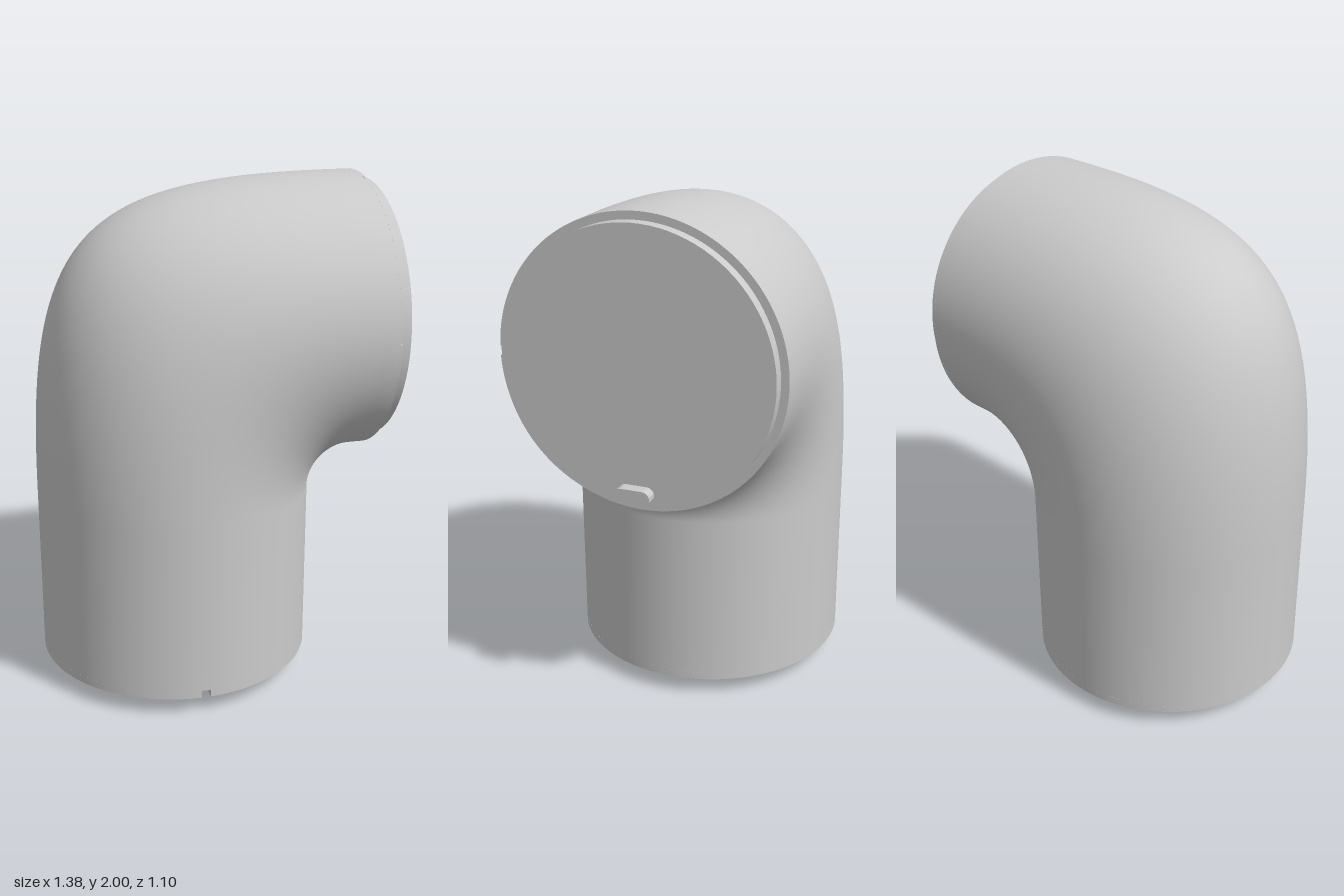
import * as THREE from 'three';
import { toCreasedNormals } from 'three/addons/utils/BufferGeometryUtils.js';

const R = 0.55;          // pipe radius
const CX = -0.145;       // axis of the upright pipe (x)
const CY = 1.45;         // axis of the level pipe (y)
const FLOOR = 0.10, FACE = 0.59;  // ends of the lofted body, behind the rims
const SEG = 96, BEND = 48;

// Elbow skin: every lengthwise line is straight, then a cubic bend, then straight
function elbowGeometry() {
  const rows = BEND + 3, pos = [], idx = [];
  const lines = [];
  for (let j = 0; j < SEG; j++) {
    const a = (j / SEG) * Math.PI * 2, u = Math.cos(a);
    const x = CX + R * u, y = CY - R * u;       // corner of this line
    const L = 0.68 - R * u;                     // bend length, short on the inside
    const h = L * THREE.MathUtils.lerp(0.84, 0.56, (u + 1) / 2);
    const bend = new THREE.CubicBezierCurve(
      new THREE.Vector2(x, y - L), new THREE.Vector2(x, y - L + h),
      new THREE.Vector2(x + L - h, y), new THREE.Vector2(x + L, y));
    lines.push({
      z: R * Math.sin(a),
      pts: [new THREE.Vector2(x, FLOOR), ...bend.getPoints(BEND), new THREE.Vector2(FACE, y)],
    });
  }
  for (let i = 0; i < rows; i++) {
    for (const l of lines) pos.push(l.pts[i].x, l.pts[i].y, l.z);
  }
  for (let i = 0; i < rows - 1; i++) {
    for (let j = 0; j < SEG; j++) {
      const k = (j + 1) % SEG;
      const a = i * SEG + j, b = i * SEG + k, c = a + SEG, d = b + SEG;
      idx.push(a, c, b, b, c, d);
    }
  }
  const g = new THREE.BufferGeometry();
  g.setAttribute('position', new THREE.Float32BufferAttribute(pos, 3));
  g.setIndex(idx);
  g.computeVertexNormals();
  return g;
}

// Thin rim with a small notch centred on the given angle
function notchedRim(depth, angle) {
  const half = 0.032, start = angle + half, end = angle - half + Math.PI * 2;
  const s = new THREE.Shape();
  s.absarc(0, 0, R, start, end, false);
  s.absarc(0, 0, 0.52, end, start, true);
  s.closePath();
  return toCreasedNormals(
    new THREE.ExtrudeGeometry(s, { depth, bevelEnabled: false, curveSegments: SEG }), 0.5);
}

export function createModel() {
  const model = new THREE.Group();
  const material = new THREE.MeshStandardMaterial({ color: 0xcccccc });
  const add = (name, geometry, x, y, z = 0) => {
    const mesh = new THREE.Mesh(geometry, material);
    mesh.name = name;
    mesh.position.set(x, y, z);
    model.add(mesh);
  };

  add('elbowPipe', elbowGeometry(), 0, 0);

  // Underside: recessed floor, notched rim, short hollow spigot
  add('baseFloor', new THREE.CircleGeometry(R, SEG).rotateX(Math.PI / 2), CX, FLOOR);
  add('baseRim', notchedRim(0.03, Math.PI / 2).rotateX(Math.PI / 2), CX, FLOOR);
  const spigot = [[0.305, 0.1], [0.305, 0], [0.345, 0], [0.345, 0.1]]
    .map(([r, y]) => new THREE.Vector2(r, y));
  add('baseSpigot', toCreasedNormals(new THREE.LatheGeometry(spigot, SEG), 0.5), CX, 0);

  // Side opening: notched rim, closing disc and locating key
  add('openingBack', new THREE.CircleGeometry(R, SEG).rotateY(Math.PI / 2), FACE, CY);
  add('openingRim', notchedRim(0.01, Math.PI).rotateY(Math.PI / 2), FACE, CY);
  add('closingDisc', new THREE.CylinderGeometry(0.519, 0.519, 0.055, SEG).rotateZ(-Math.PI / 2),
    FACE + 0.0275, CY);

  const pill = new THREE.Shape();
  pill.absarc(0.04, 0, 0.03, -Math.PI / 2, Math.PI / 2, false);
  pill.absarc(-0.04, 0, 0.03, Math.PI / 2, Math.PI * 1.5, false);
  pill.closePath();
  const key = new THREE.ExtrudeGeometry(pill, { depth: 0.05, bevelEnabled: false, curveSegments: 16 });
  add('locatingKey', toCreasedNormals(key, 0.5).rotateY(Math.PI / 2), 0.64, 0.985);

  return model;
}
